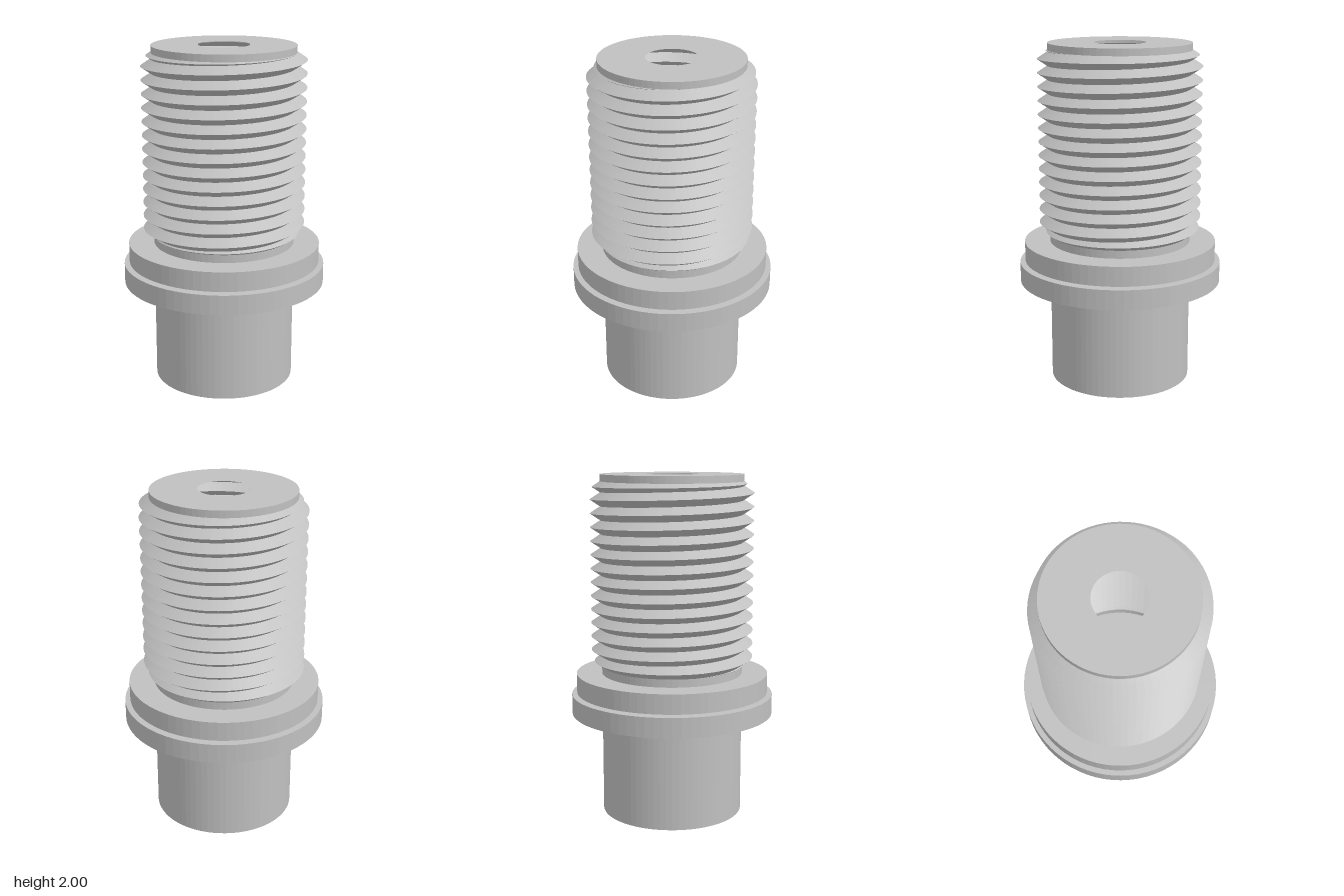
import * as THREE from 'three';

const SEG = 72;                       // facets per turn
const ROOT = 0.415, DEPTH = 0.06;     // thread root radius and tooth depth
const PITCH = 0.0795, HALF = PITCH / 2;
const START = -1, END = 13.5;         // thread turns, counted from the right-hand (-x) side
const SHOULDER = 0.84, TOP = 2;

// Tooth section at a turn: it grows over the first turn and fades over the last
function tooth(turn) {
  const fade = Math.min(1, turn - START, END - turn);
  const middle = 0.926 + PITCH * turn;
  let low = middle - HALF;
  if (turn < START + 1) low = middle + HALF - PITCH * fade;
  return { low, crest: low + HALF * fade, high: low + PITCH * fade, radius: ROOT + DEPTH * fade };
}

// Surface swept round the axis; section(turn) gives [radius, y] pairs from low to high
function sweep(from, to, section) {
  const positions = [], index = [];
  const steps = Math.round((to - from) * SEG);
  let rows = 0;
  for (let i = 0; i <= steps; i++) {
    const turn = from + (to - from) * i / steps;
    const a = turn * Math.PI * 2;
    const points = section(turn);
    rows = points.length;
    for (const [r, y] of points) positions.push(-r * Math.cos(a), y, r * Math.sin(a));
  }
  for (let i = 0; i < steps; i++) {
    for (let j = 0; j < rows - 1; j++) {
      const a = i * rows + j, b = a + rows;
      index.push(a, b, b + 1, a, b + 1, a + 1);
    }
  }
  const geometry = new THREE.BufferGeometry();
  geometry.setAttribute('position', new THREE.Float32BufferAttribute(positions, 3));
  geometry.setIndex(index);
  geometry.computeVertexNormals();
  return geometry;
}

function lathe(points) {
  return new THREE.LatheGeometry(points.map(([r, y]) => new THREE.Vector2(r, y)), SEG);
}

export function createModel() {
  const model = new THREE.Group();
  model.name = 'threadedFitting';
  const steel = new THREE.MeshStandardMaterial({ color: 0xc0c0c0, flatShading: true, side: THREE.DoubleSide });
  steel.name = 'steel grey';

  const add = (name, geometry) => {
    const mesh = new THREE.Mesh(geometry, steel);
    mesh.name = name;
    model.add(mesh);
  };

  // Hollow lower barrel with its two flanges and the narrow groove between them
  add('barrelAndFlanges', lathe([
    [0.3, SHOULDER], [0.3, 0], [ROOT, 0], [ROOT, 0.6],
    [0.595, 0.6], [0.595, 0.716], [ROOT, 0.716], [ROOT, 0.726],
    [0.565, 0.726], [0.565, SHOULDER], [0.3, SHOULDER],
  ]));

  // Right-handed helical thread, hollow inside
  add('thread', sweep(START, END, (turn) => {
    const t = tooth(turn);
    return [[ROOT, t.low], [t.radius, t.crest], [ROOT, t.high]];
  }));

  // Plain collars closing the thread at both ends
  add('lowerCollar', sweep(START, START + 1, (turn) => [[ROOT, SHOULDER], [ROOT, tooth(turn).low]]));
  add('upperCollar', sweep(END - 1, END, (turn) => [[ROOT, tooth(turn).high], [ROOT, TOP]]));

  // End face with a round hole
  add('endFace', lathe([[ROOT, TOP], [0.148, TOP]]));

  return model;
}
